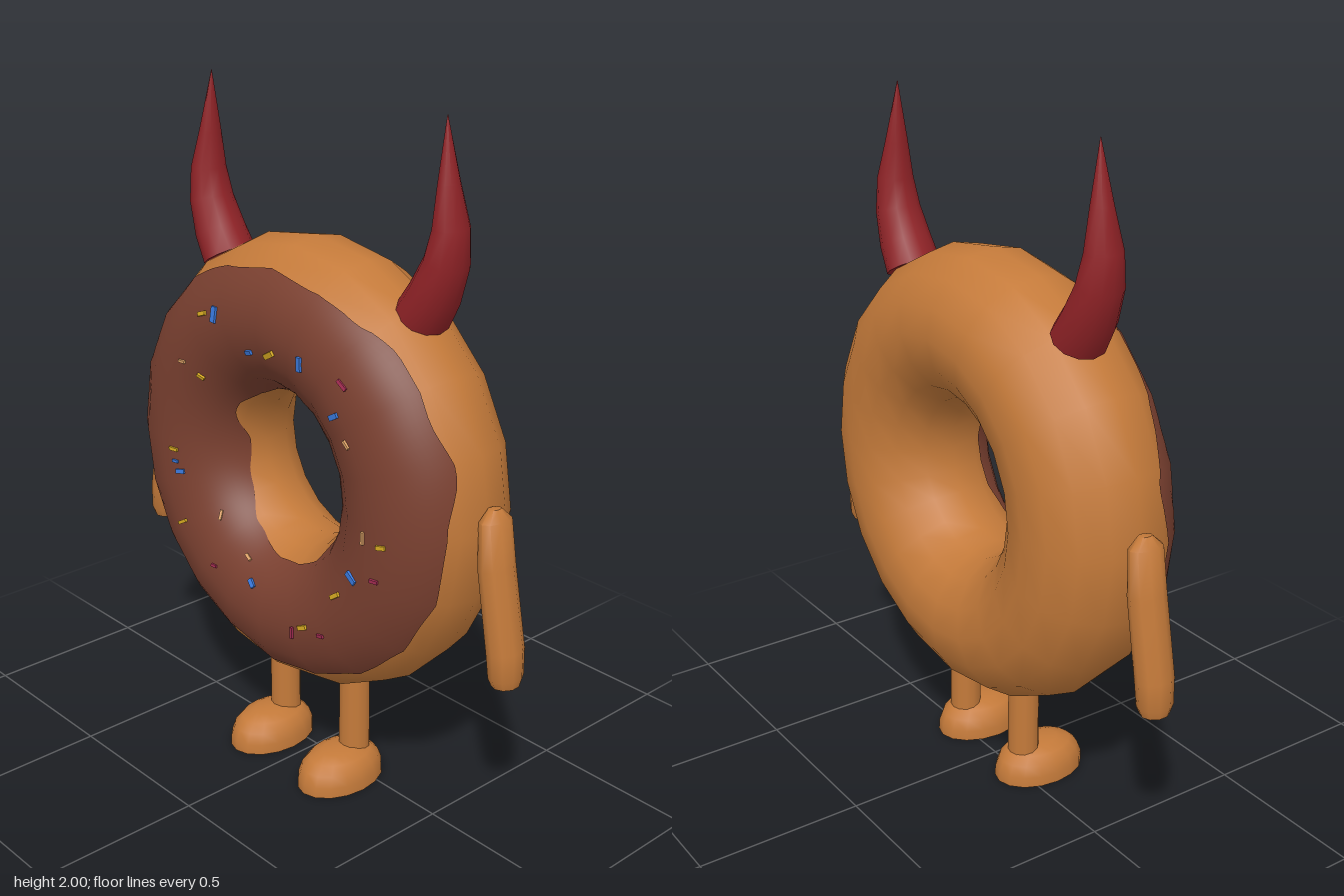
import * as THREE from 'three';
import { mergeVertices, toCreasedNormals } from 'three/addons/utils/BufferGeometryUtils.js';

const RING = 0.443, TUBE = 0.224, SEGS = 20, SIDES = 16, MID_Y = 0.95;
const RAD = Math.PI / 180;

const material = (name, color) => {
  const m = new THREE.MeshStandardMaterial({ color });
  m.name = name;
  return m;
};

// Point on the faceted ring; u runs round the ring, v round the tube (degrees)
function ringPoint(u, v, lift = 0) {
  const du = 360 / SEGS, dv = 360 / SIDES;
  const i = Math.floor(u / du), j = Math.floor(v / dv);
  const corner = (a, b) => {
    const d = RING + (TUBE + lift) * Math.cos(b * dv * RAD);
    return new THREE.Vector3(d * Math.cos(a * du * RAD), d * Math.sin(a * du * RAD), (TUBE + lift) * Math.sin(b * dv * RAD));
  };
  const near = corner(i, j).lerp(corner(i, j + 1), v / dv - j);
  const far = corner(i + 1, j).lerp(corner(i + 1, j + 1), v / dv - j);
  return near.lerp(far, u / du - i);
}

const ringNormal = (u, v) => new THREE.Vector3(
  Math.cos(v * RAD) * Math.cos(u * RAD), Math.cos(v * RAD) * Math.sin(u * RAD), Math.sin(v * RAD));

// Smooth closed interpolation through evenly spaced values
function around(values, t) {
  const n = values.length, f = t * n, i = Math.floor(f), k = f - i;
  const s = k * k * (3 - 2 * k);
  return values[i % n] * (1 - s) + values[(i + 1) % n] * s;
}

// Wavy icing edges, in tube degrees every 15 (outer) and 30 (inner) degrees
const OUTER = [32, 22, 30, 30, 42, 47, 46, 47, 40, 42, 33, 20, 28, 27, 42, 47, 52, 60, 50, 51, 47, 40, 36, 32];
const INNER = [152, 142, 145, 165, 158, 148, 165, 160, 150, 142, 140, 150];

function icingGeometry() {
  const geo = new THREE.PlaneGeometry(1, 1, 120, 28);
  const { position, normal, uv } = geo.attributes;
  for (let k = 0; k < position.count; k++) {
    const t = uv.getX(k), u = t * 360;
    const v = THREE.MathUtils.lerp(around(OUTER, t), around(INNER, t), uv.getY(k));
    const p = ringPoint(u, v, 0.004), n = ringNormal(u, v);
    position.setXYZ(k, p.x, p.y, p.z);
    normal.setXYZ(k, n.x, n.y, n.z);
  }
  return geo;
}

// Limb through sections [x, y, radius across, radius in z], listed top to bottom
function limbGeometry(sections, side, sides) {
  const rows = sections.length - 1;
  const geo = new THREE.CylinderGeometry(1, 1, 1, sides, rows);
  const pos = geo.attributes.position;
  for (let k = 0; k < pos.count; k++) {
    const row = Math.round((0.5 - pos.getY(k)) * rows);
    const [x, y, rx, rz] = sections[row];
    const a = sections[Math.max(row - 1, 0)], b = sections[Math.min(row + 1, rows)];
    const t = new THREE.Vector2((a[0] - b[0]) * side, a[1] - b[1]).normalize();
    const px = pos.getX(k) * rx;
    pos.setXYZ(k, x * side + px * t.y, y - px * t.x, pos.getZ(k) * rz);
  }
  geo.deleteAttribute('uv');
  geo.deleteAttribute('normal');
  return toCreasedNormals(mergeVertices(geo, 1e-5), 0.9);
}

const HORN = [
  [0.465, 2.0, 0.001, 0.001], [0.477, 1.83, 0.027, 0.034], [0.489, 1.72, 0.046, 0.055],
  [0.478, 1.63, 0.058, 0.068], [0.44, 1.54, 0.068, 0.079], [0.398, 1.472, 0.073, 0.083],
];
const ARM = [
  [0.678, 1.02, 0.018, 0.02], [0.683, 0.99, 0.036, 0.052], [0.695, 0.86, 0.046, 0.056],
  [0.738, 0.63, 0.05, 0.055], [0.744, 0.555, 0.044, 0.053], [0.745, 0.53, 0.037, 0.042],
];

// Sprinkles: colour, x, y, turn in degrees, length, width
const SPRINKLES = [
  ['yellow', -0.24, 1.385, 20, 0.035, 0.012], ['yellow', 0.05, 1.335, 30, 0.045, 0.016],
  ['yellow', -0.265, 1.19, -30, 0.025, 0.01], ['yellow', -0.395, 0.925, 0, 0.03, 0.01],
  ['yellow', 0.495, 0.915, 10, 0.028, 0.012], ['yellow', -0.35, 0.705, 30, 0.035, 0.01],
  ['yellow', 0.32, 0.71, 35, 0.04, 0.013], ['yellow', 0.195, 0.56, 25, 0.035, 0.013],
  ['blue', -0.183, 1.395, 90, 0.045, 0.02], ['blue', 0.185, 1.345, 90, 0.04, 0.015],
  ['blue', -0.04, 1.32, 15, 0.025, 0.012], ['blue', 0.32, 1.235, 30, 0.035, 0.015],
  ['blue', -0.37, 0.86, 10, 0.03, 0.013], ['blue', 0.39, 0.79, -30, 0.04, 0.016],
  ['blue', -0.05, 0.6, -40, 0.028, 0.014], ['blue', -0.39, 0.888, 0, 0.02, 0.008],
  ['pink', 0.34, 1.325, -35, 0.035, 0.01], ['pink', 0.47, 0.81, 0, 0.025, 0.01],
  ['pink', -0.21, 0.605, 0, 0.02, 0.008], ['pink', 0.15, 0.53, 90, 0.035, 0.008],
  ['pink', 0.265, 0.565, 10, 0.022, 0.01], ['cream', 0.37, 1.17, -40, 0.026, 0.009],
  ['cream', -0.1, 0.66, -30, 0.024, 0.009], ['cream', -0.33, 1.22, 0, 0.024, 0.008],
  ['cream', 0.435, 0.925, 90, 0.036, 0.008], ['cream', -0.23, 0.75, 90, 0.03, 0.008],
];

export function createModel() {
  const model = new THREE.Group();
  const dough = material('dough', 0xc47a3a);
  const icing = material('chocolate icing', 0x7a4030);
  const horn = material('horn red', 0x8f2226);
  const sugar = {
    yellow: material('yellow sugar', 0xd8ab22), blue: material('blue sugar', 0x3a7ade),
    pink: material('pink sugar', 0xa32c52), cream: material('cream sugar', 0xe0a468),
  };
  const add = (name, geo, mat, x = 0, y = 0, z = 0, parent = model) => {
    const mesh = new THREE.Mesh(geo, mat);
    mesh.name = name;
    mesh.position.set(x, y, z);
    parent.add(mesh);
    return mesh;
  };

  // Ring body and its icing
  add('ringBody', new THREE.TorusGeometry(RING, TUBE, SIDES, SEGS), dough, 0, MID_Y, 0);
  add('icing', icingGeometry(), icing, 0, MID_Y, 0);

  // Sprinkles lying flat on the icing
  const sprinkles = new THREE.Group();
  sprinkles.name = 'sprinkles';
  model.add(sprinkles);
  for (const [color, x, y, turn, length, width] of SPRINKLES) {
    const u = (Math.atan2(y - MID_Y, x) / RAD + 360) % 360;
    const v = Math.acos((Math.hypot(x, y - MID_Y) - RING) / TUBE) / RAD;
    const p = ringPoint(u, v, 0.007);
    const mesh = add('sprinkle', new THREE.BoxGeometry(length, width, 0.008), sugar[color], p.x, p.y + MID_Y, p.z, sprinkles);
    mesh.quaternion.setFromUnitVectors(new THREE.Vector3(0, 0, 1), ringNormal(u, v));
    mesh.rotateZ(turn * RAD);
  }

  // Flat-soled dome used for both feet
  const footProfile = [[0, 0], [1, 0], [0.99, 0.3], [0.9, 0.62], [0.72, 0.86], [0.42, 0.98], [0, 1]]
    .map(([r, y]) => new THREE.Vector2(r, y));
  const footGeo = new THREE.LatheGeometry(footProfile, 16).scale(0.102, 0.102, 0.145);
  const foot = toCreasedNormals(footGeo, 0.9);

  // Paired horns, arms, legs and feet
  for (const side of [1, -1]) {
    const label = side > 0 ? 'left' : 'right';
    add(label + 'Horn', limbGeometry(HORN, side, 12), horn, -0.01, 0, -0.021);
    add(label + 'Arm', limbGeometry(ARM, side, 10), dough, -0.005, 0, -0.011);
    const legX = 0.02 + side * 0.156;
    add(label + 'Leg', new THREE.CylinderGeometry(0.045, 0.047, 0.32, 12), dough, legX, 0.22, 0.008);
    add(label + 'Foot', foot, dough, legX, 0, 0.065);
  }
  return model;
}
